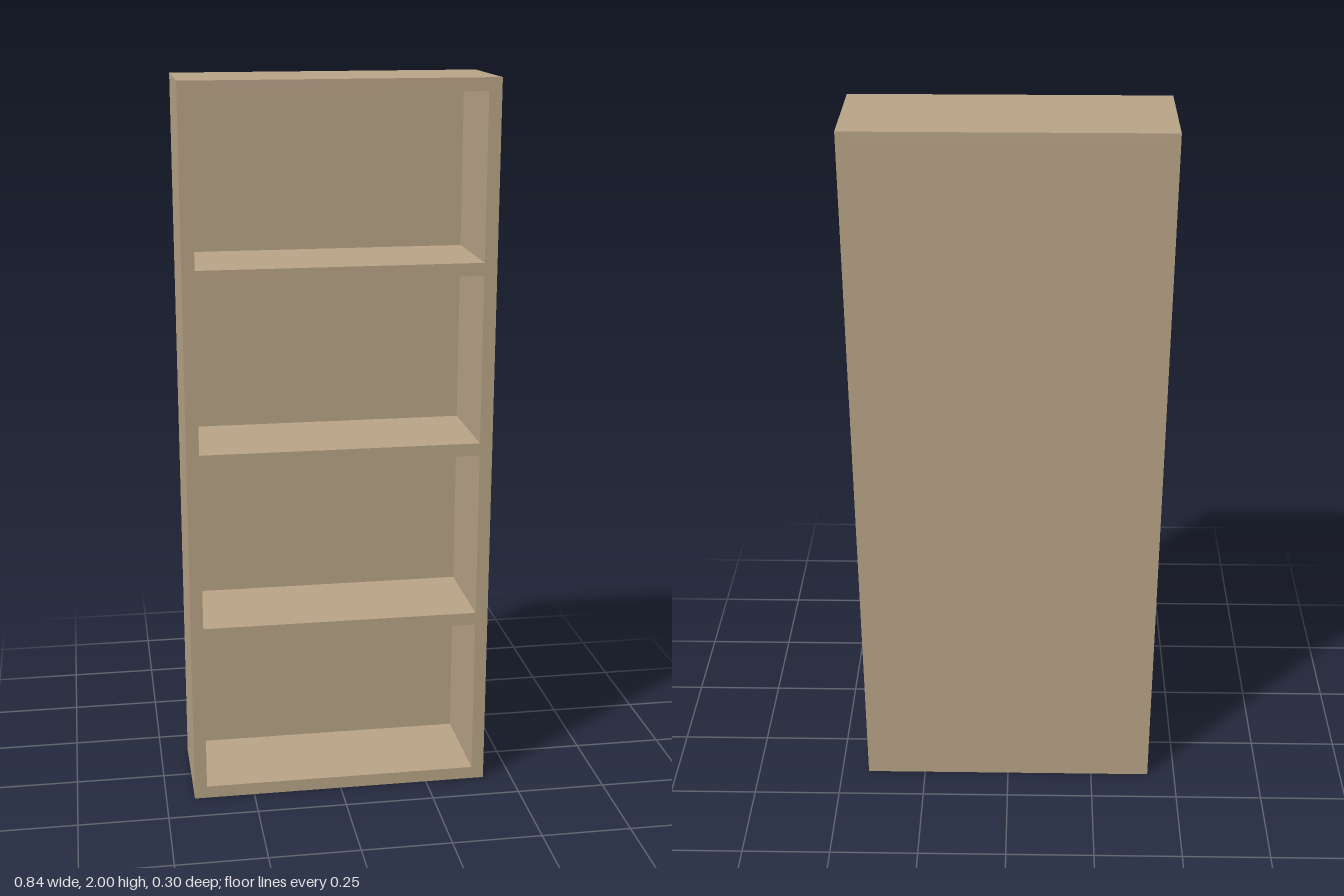
import * as THREE from 'three';

const W = 0.84, H = 2, D = 0.3;   // overall size
const T = 0.035;                  // board thickness
const BACK = 0.015;               // back panel thickness

export function createModel() {
  const group = new THREE.Group();
  group.name = 'bookcase';
  const wood = new THREE.MeshStandardMaterial({ color: 0xbaa588 });

  function board(name, w, h, d, x, y, z) {
    const mesh = new THREE.Mesh(new THREE.BoxGeometry(w, h, d), wood);
    mesh.name = name;
    mesh.position.set(x, y, z);
    group.add(mesh);
  }

  // Full-height side panels
  for (const [name, s] of [['leftSide', 1], ['rightSide', -1]]) {
    board(name, T, H, D, s * (W - T) / 2, H / 2, 0);
  }

  // Top and bottom boards between the sides
  const inner = W - 2 * T;
  board('topBoard', inner, T, D, 0, H - T / 2, 0);
  board('bottomBoard', inner, T, D, 0, T / 2, 0);

  // Thin back panel, flush with the rear edges
  board('backPanel', inner, H - 2 * T, BACK, 0, H / 2, (BACK - D) / 2);

  // Three evenly spaced shelves in front of the back panel
  for (let i = 1; i <= 3; i++) {
    board('shelf' + i, inner, T, D - BACK, 0, i * H / 4, BACK / 2);
  }
  return group;
}
